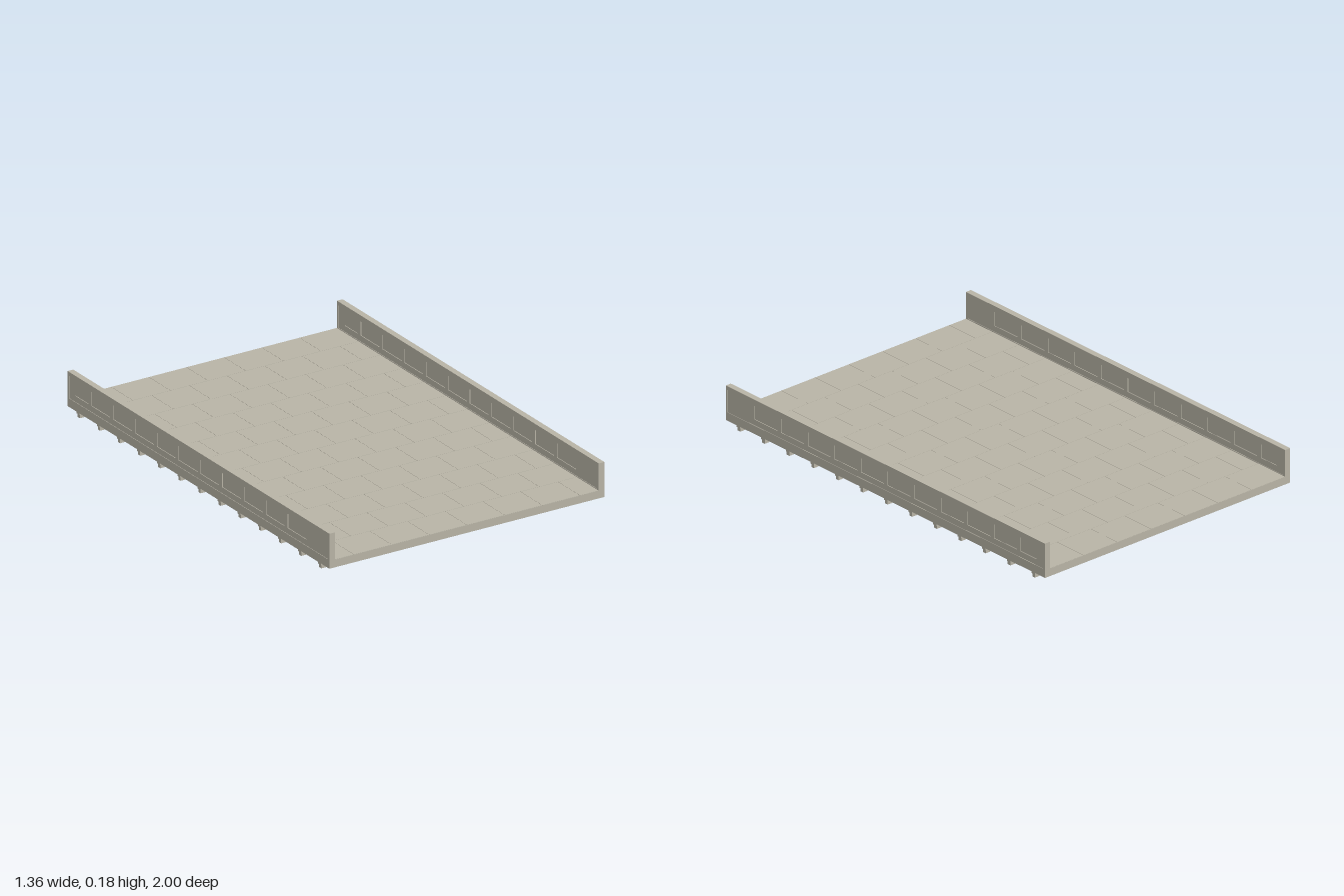
import * as THREE from 'three';

const material = new THREE.MeshStandardMaterial({ color: 0xb8b4a6, flatShading: true });

function box(parent, name, [w, h, d], [x, y, z]) {
  const mesh = new THREE.Mesh(new THREE.BoxGeometry(w, h, d), material);
  mesh.name = name;
  mesh.position.set(x, y, z);
  parent.add(mesh);
  return mesh;
}

function rectangle(Kind, x0, y0, x1, y1) {
  const r = new Kind();
  r.moveTo(x0, y0);
  r.lineTo(x1, y0);
  r.lineTo(x1, y1);
  r.lineTo(x0, y1);
  r.closePath();
  return r;
}

// Frame with rectangular openings, drawn in the z-y plane and given a thickness along x
function frame(parent, name, outline, openings, thickness, x) {
  const shape = rectangle(THREE.Shape, ...outline);
  for (const o of openings) shape.holes.push(rectangle(THREE.Path, ...o));
  const geometry = new THREE.ExtrudeGeometry(shape, { depth: thickness, bevelEnabled: false });
  geometry.translate(0, 0, -thickness / 2);
  geometry.rotateY(Math.PI / 2);
  const mesh = new THREE.Mesh(geometry, material);
  mesh.name = name;
  mesh.position.x = x;
  parent.add(mesh);
}

function createParapet(side) {
  const parapet = new THREE.Group();
  parapet.name = side > 0 ? 'leftParapet' : 'rightParapet';
  const x = side * 0.667;

  // Outer border, slightly recessed field, and panels set back further
  frame(parapet, 'parapetBorder', [-1, 0.06, 1, 0.184], [[-0.988, 0.064, 0.988, 0.167]], 0.028, x);
  const panels = [];
  for (let i = 0; i < 12; i++) {
    const z = (i - 5.5) / 6;
    panels.push([z - 0.072, 0.091, z + 0.072, 0.155]);
  }
  frame(parapet, 'panelFrame', [-0.988, 0.064, 0.988, 0.167], panels, 0.024, x);
  box(parapet, 'recessedPanels', [0.018, 0.1, 1.97], [x, 0.115, 0]);

  // Stepped brackets under the deck edge
  for (let i = 0; i < 13; i++) {
    const z = (i - 6) * 0.1538;
    box(parapet, 'bracketTop', [0.032, 0.009, 0.022], [side * 0.663, 0.0205, z]);
    box(parapet, 'bracketFoot', [0.026, 0.016, 0.017], [side * 0.663, 0.008, z]);
  }
  return parapet;
}

// Thin staggered slabs with narrow joints
function createPaving() {
  const paving = new THREE.Group();
  paving.name = 'paving';
  const rows = 12, depth = 2 / rows, width = 1.306 / 7, joint = 0.002;
  for (let r = 0; r < rows; r++) {
    const shift = r % 2 ? width / 2 : 0;
    for (let c = 0; c < 8; c++) {
      const x0 = Math.max(-0.653, -0.653 + c * width - shift);
      const x1 = Math.min(0.653, -0.653 + (c + 1) * width - shift);
      if (x1 - x0 < 0.01) continue;
      box(paving, 'pavingSlab', [x1 - x0 - joint, 0.002, depth - joint],
        [(x0 + x1) / 2, 0.06, -1 + (r + 0.5) * depth]);
    }
  }
  return paving;
}

export function createModel() {
  const model = new THREE.Group();
  model.name = 'bridgeDeck';
  box(model, 'deck', [1.362, 0.035, 2], [0, 0.0425, 0]);
  model.add(createPaving(), createParapet(1), createParapet(-1));
  return model;
}
